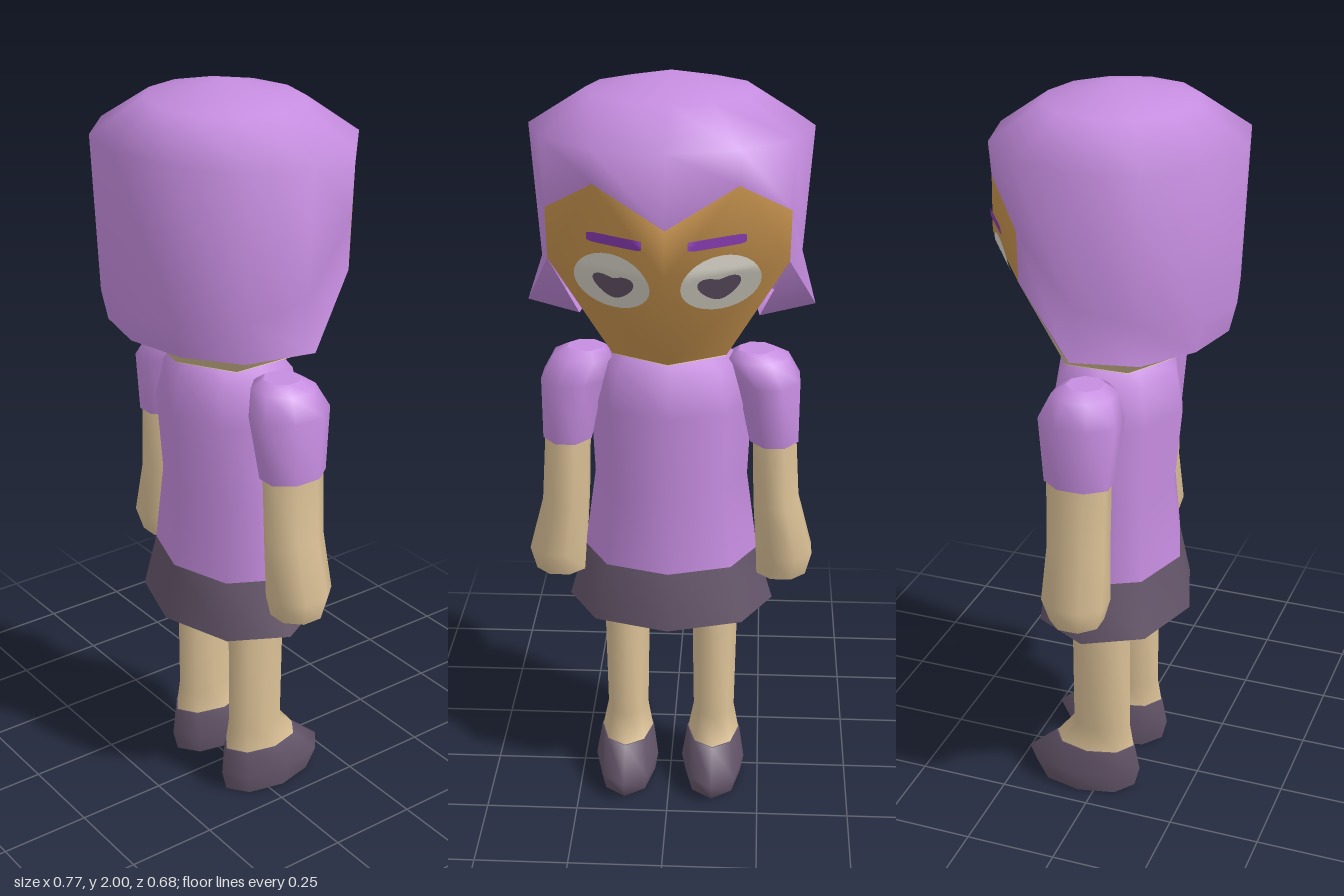
import * as THREE from 'three';

const material = (name, color, side = THREE.FrontSide) => {
  const m = new THREE.MeshStandardMaterial({ color, side });
  m.name = name;
  return m;
};

export function createModel() {
  const model = new THREE.Group();
  const lilac = material('lilac cloth', 0xc68de0);
  const hairMat = material('lilac hair', 0xc68de0, THREE.DoubleSide);
  const tan = material('tan skin', 0xdac096);
  const orange = material('orange face', 0xcb9650);
  const dark = material('dark plum', 0x65566a);
  const white = material('eye white', 0xdedace);
  const violet = material('brow violet', 0x8a3db4);

  const add = (name, geometry, mat) => {
    geometry.computeVertexNormals();
    const mesh = new THREE.Mesh(geometry, mat);
    mesh.name = name;
    model.add(mesh);
  };
  const indexed = (points, index) => {
    const g = new THREE.BufferGeometry();
    g.setAttribute('position', new THREE.Float32BufferAttribute(points.flat(), 3));
    g.setIndex(index);
    return g;
  };

  // Sections run top to bottom: [y, centre x, centre z, radius x, radius z]
  const loft = (name, mat, sections, sides = 8, turn = 0) => {
    const points = [], index = [];
    const ring = ([y, cx, cz, rx, rz]) => {
      for (let k = 0; k < sides; k++) {
        const a = (k + turn) / sides * Math.PI * 2;
        points.push([cx + Math.sin(a) * rx, y, cz + Math.cos(a) * rz]);
      }
    };
    sections.forEach(ring);
    for (let s = 0; s < sections.length - 1; s++) {
      for (let k = 0; k < sides; k++) {
        const a = s * sides + k, b = s * sides + (k + 1) % sides;
        index.push(a, a + sides, b + sides, a, b + sides, b);
      }
    }
    // Caps have their own corners so their edges stay sharp
    [sections[0], sections[sections.length - 1]].forEach((section, end) => {
      const start = points.length;
      ring(section);
      for (let k = 1; k < sides - 1; k++) {
        if (end) index.push(start, start + k + 1, start + k);
        else index.push(start, start + k, start + k + 1);
      }
    });
    add(name, indexed(points, index), mat);
  };

  // Body
  loft('neck', tan, [[1.33, 0, 0, 0.1, 0.1], [1.25, 0, 0, 0.1, 0.1]]);
  loft('shirt', lilac, [
    [1.29, 0, 0.01, 0.14, 0.11], [1.25, 0, 0.005, 0.185, 0.16], [1.14, 0, 0.005, 0.215, 0.18],
    [0.92, 0, 0.005, 0.205, 0.16], [0.70, 0, 0.002, 0.235, 0.183]]);
  loft('skirt', dark, [[0.70, 0, 0.002, 0.235, 0.183], [0.545, 0, 0.002, 0.28, 0.213]]);

  // Limbs, mirrored left and right
  for (const [side, s] of [['left', 1], ['right', -1]]) {
    loft(side + 'Sleeve', lilac, [
      [1.28, s * 0.225, 0, 0.05, 0.05], [1.26, s * 0.23, 0, 0.085, 0.085],
      [1.20, s * 0.258, 0, 0.089, 0.113], [1.03, s * 0.275, 0, 0.07, 0.094]], 8, 0.5);
    loft(side + 'Forearm', tan, [
      [1.03, s * 0.277, 0, 0.063, 0.087], [0.85, s * 0.285, 0, 0.066, 0.085],
      [0.70, s * 0.309, 0, 0.082, 0.092], [0.635, s * 0.302, 0, 0.072, 0.072]], 8, 0.5);
    loft(side + 'Leg', tan, [
      [0.60, s * 0.122, 0, 0.064, 0.084], [0.20, s * 0.122, 0.002, 0.057, 0.084],
      [0.135, s * 0.122, -0.018, 0.071, 0.115]]);
    loft(side + 'Shoe', dark, [
      [0.135, s * 0.122, -0.018, 0.074, 0.118], [0.06, s * 0.122, -0.053, 0.088, 0.168],
      [0, s * 0.122, -0.043, 0.078, 0.143]]);
  }

  // Hair: twelve columns; each list runs from the back column (0) to the front one (6)
  const hairPoint = (k, y, scale) => {
    const a = k / 12 * Math.PI * 2;
    return [Math.sin(a) * 0.36 * scale, y, 0.015 + Math.cos(a) * 0.325 * scale];
  };
  const middleY = [1.46, 1.46, 1.48, 1.52, 1.69, 1.78, 1.68];
  const middleScale = [0.95, 0.95, 0.94, 0.93, 0.98, 0.98, 1];
  const hemY = [1.38, 1.38, 1.38, 1.40, 1.56];
  const hemScale = [0.89, 0.9, 0.95, 1.04, 0.97];
  const fold = k => Math.min(k, 12 - k);
  const middle = k => hairPoint(k, middleY[fold(k)], middleScale[fold(k)]);
  const hem = k => hairPoint(k, hemY[fold(k)] ?? 1.6, hemScale[fold(k)] ?? 0.9);
  const inner = k => {
    const m = fold(k);
    if (m >= 4) return hem(k);
    if (m === 3) return [k < 6 ? 0.23 : -0.23, 1.40, -0.09];
    return hairPoint(k, 1.385, 0.68);
  };
  const hairPoints = [], hairIndex = [], underPoints = [], underIndex = [];
  for (let k = 0; k < 12; k++) {
    hairPoints.push([0, 2, 0.015], hairPoint(k, 1.955, 0.6), hairPoint(k, 1.865, 1), middle(k), hem(k));
    underPoints.push(hem(k), inner(k));
    const n = (k + 1) % 12, front = k >= 4 && k < 8;
    for (let r = 0; r < (front ? 3 : 4); r++) {
      const a = k * 5 + r, b = n * 5 + r;
      hairIndex.push(a, a + 1, b + 1);
      if (r) hairIndex.push(a, b + 1, b);
    }
    if (!front) underIndex.push(k * 2, k * 2 + 1, n * 2 + 1, k * 2, n * 2 + 1, n * 2);
  }
  // Share one crown point so the top shades smoothly
  add('hair', indexed(hairPoints, hairIndex.map(i => (i % 5 ? i : 0))), hairMat);
  add('hairUnderside', indexed(underPoints, underIndex), hairMat);

  // Face: one half as corners and triangles, mirrored across x
  const half = [
    [0, 1.57, -0.342], hem(4), middle(6), middle(5), middle(4), [0, 1.29, -0.17], [0.147, 1.29, -0.085]];
  half[2][0] = 0;
  const halfFaces = [[0, 3, 1], [0, 2, 3], [1, 3, 4], [0, 1, 5], [5, 1, 6]];
  const mirrored = half.map(([x, y, z]) => [-x, y, z]);
  const faceIndex = halfFaces.flatMap(([a, b, c]) => {
    const m = i => ([0, 2, 5].includes(i) ? i : i + 7);
    return [a, b, c, m(a), m(c), m(b)];
  });
  add('face', indexed([...half, ...mirrored], faceIndex), orange);

  // Jaw and nape below the hair
  const jaw = [], jawIndex = [];
  for (let k = 0; k < 5; k++) {
    const a = (k - 2) * Math.PI / 3, low = 0.17, high = 0.31;
    jaw.push([Math.sin(a) * low, 1.29, Math.cos(a) * low]);
    if (k === 0 || k === 4) jaw.push(hem(k ? 4 : 8));
    else jaw.push([Math.sin(a) * high, 1.44, Math.cos(a) * high]);
    if (k < 4) jawIndex.push(2 * k + 1, 2 * k, 2 * k + 2, 2 * k + 1, 2 * k + 2, 2 * k + 3);
  }
  add('jaw', indexed(jaw, jawIndex), tan);
  loft('chinBase', tan, [[1.292, 0, 0, 0.168, 0.168], [1.288, 0, 0, 0.17, 0.17]], 6);

  // Depth of the face surface at x, y
  const faceTriangles = halfFaces.map(f => new THREE.Triangle(...f.map(i => new THREE.Vector3(half[i][0], half[i][1], 0))));
  const faceDepth = (x, y) => {
    const bary = new THREE.Vector3(), p = new THREE.Vector3(Math.abs(x), y, 0);
    for (let i = 0; i < halfFaces.length; i++) {
      faceTriangles[i].getBarycoord(p, bary);
      if (Math.min(bary.x, bary.y, bary.z) < -0.001) continue;
      const [a, b, c] = halfFaces[i].map(j => half[j][2]);
      return a * bary.x + b * bary.y + c * bary.z;
    }
    return -0.25;
  };
  // Thin disc laid onto the face; shape reworks the unit circle
  const patch = (name, mat, cx, cy, rx, ry, lift, shape = (u, v) => [u, v]) => {
    const g = new THREE.RingGeometry(0.001, 1, 28, 8);
    const p = g.attributes.position;
    for (let i = 0; i < p.count; i++) {
      const [u, v] = shape(p.getX(i), p.getY(i));
      const x = cx - u * rx, y = cy + v * ry;
      p.setXYZ(i, x, y, faceDepth(x, y) - lift);
    }
    add(name, g, mat);
  };
  const heart = (u, v) => {
    const notch = 1 - 0.45 * Math.max(0, v / (Math.hypot(u, v) || 1)) ** 8;
    return [u * (1 + 0.35 * v) * notch, v * notch];
  };
  const bar = (u, v) => {
    const square = Math.hypot(u, v) / Math.max(Math.abs(u), Math.abs(v), 1e-6);
    return [u * Math.min(square, 1.25), v * Math.min(square, 1.25)];
  };
  for (const [side, s] of [['left', 1], ['right', -1]]) {
    patch(side + 'Eye', white, s * 0.135, 1.53, 0.098, 0.08, 0.006);
    patch(side + 'Pupil', dark, s * 0.13, 1.523, 0.05, 0.04, 0.009, heart);
    patch(side + 'Brow', violet, s * 0.125, 1.645, 0.07, 0.013, 0.006, bar);
  }
  return model;
}
